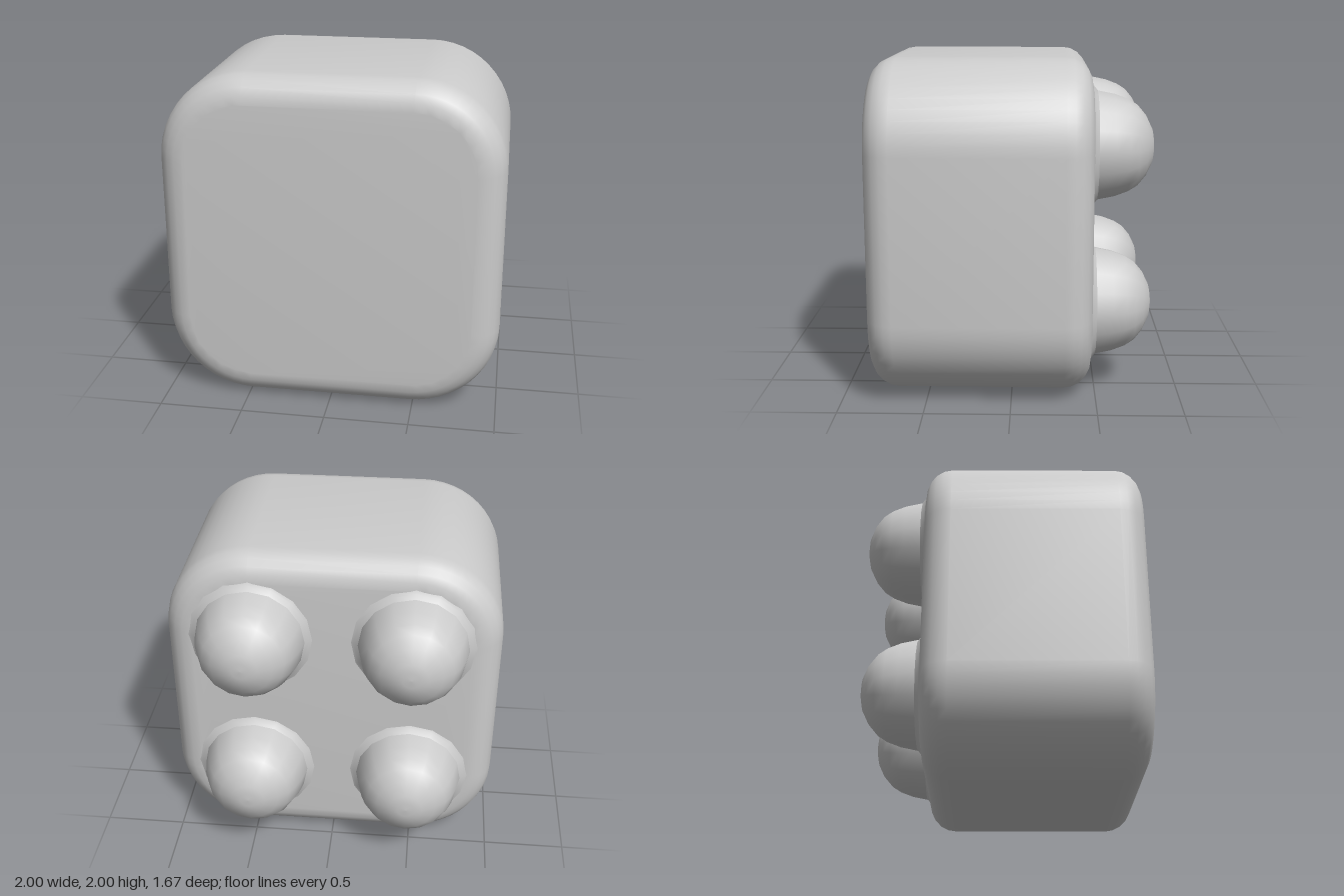
import * as THREE from 'three';
import { toCreasedNormals } from 'three/addons/utils/BufferGeometryUtils.js';

const material = new THREE.MeshStandardMaterial({ color: 0xcccccc });

// Rounded square; corners are quarter arcs of radius r
function roundedSquare(half, r) {
  const shape = new THREE.Shape();
  const c = half - r;
  [[c, c], [-c, c], [-c, -c], [c, -c]].forEach(([x, y], i) =>
    shape.absarc(x, y, r, i * Math.PI / 2, (i + 1) * Math.PI / 2, false));
  shape.closePath();
  return shape;
}

// Turned part whose axis points to the back; profile is [radius, distance]
function turned(name, profile) {
  const points = profile.map(([r, d]) => new THREE.Vector2(r, d));
  const geometry = new THREE.LatheGeometry(points, 16);
  geometry.rotateX(-Math.PI / 2);
  const mesh = new THREE.Mesh(geometry, material);
  mesh.name = name;
  return mesh;
}

export function createModel() {
  const model = new THREE.Group();
  model.name = 'studdedBlock';

  // Body: soft-cornered block with rounded front and back edges
  const bevel = 0.16;
  const bodyGeometry = new THREE.ExtrudeGeometry(roundedSquare(1 - bevel, 0.52 - bevel), {
    depth: 1.305 - 2 * bevel, bevelEnabled: true, bevelSize: bevel,
    bevelThickness: bevel, bevelSegments: 5, curveSegments: 6,
  });
  const body = new THREE.Mesh(toCreasedNormals(bodyGeometry, 0.7), material);
  body.name = 'body';
  body.position.set(0, 1, -0.472 + bevel);
  model.add(body);

  // Four domed studs on the back, each on a small flared collar
  for (const x of [-0.48, 0.48]) {
    for (const y of [0.53, 1.48]) {
      const stud = new THREE.Group();
      stud.name = 'stud';
      stud.add(
        turned('collar', [[0.37, 0.47], [0.35, 0.48], [0.325, 0.5]]),
        turned('dome', [[0.325, 0.5], [0.305, 0.6], [0.275, 0.68], [0.24, 0.735],
          [0.18, 0.785], [0.1, 0.823], [0.05, 0.832], [0, 0.835]]),
      );
      stud.position.set(x, y, 0);
      model.add(stud);
    }
  }
  return model;
}
